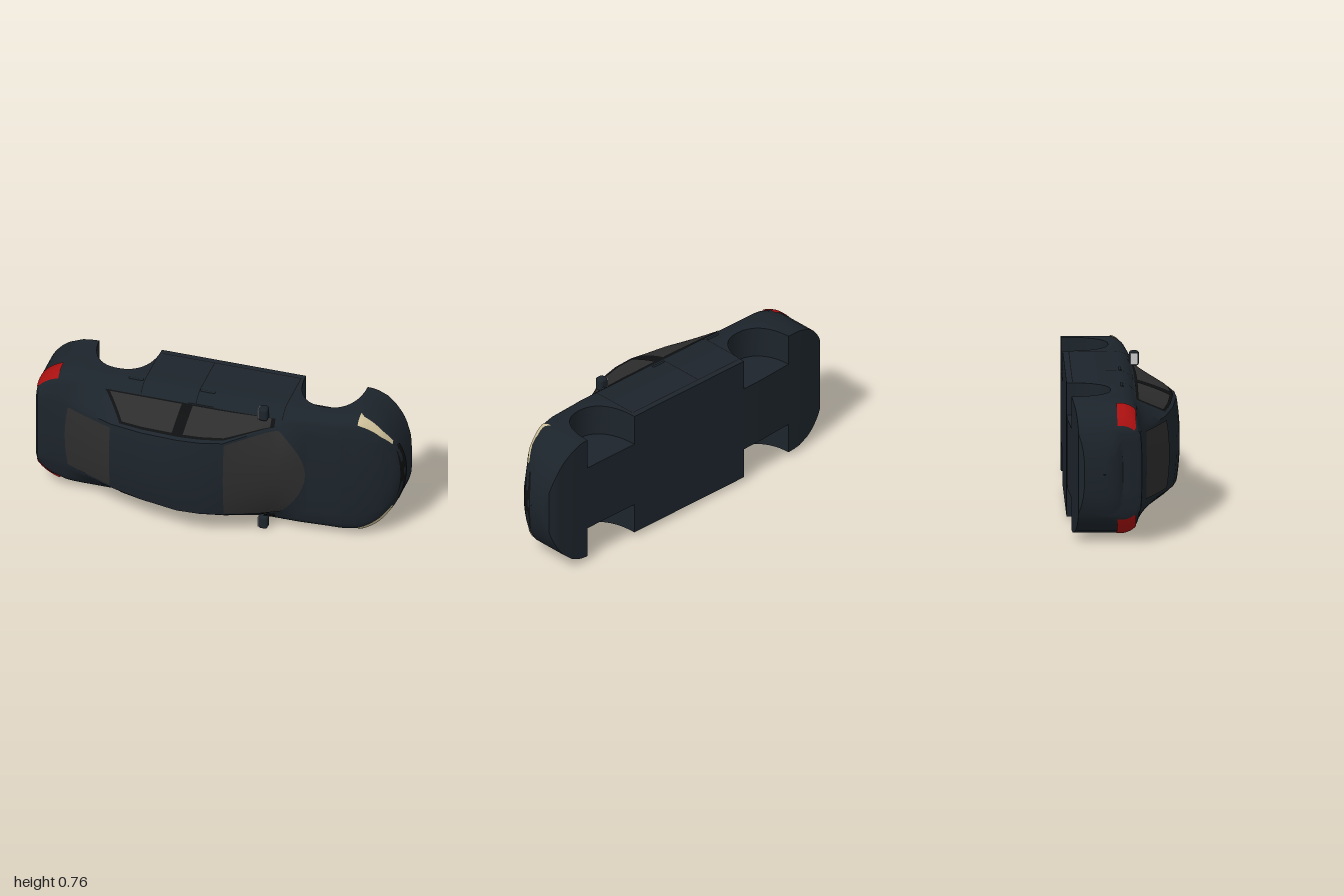
import * as THREE from 'three';
import { toCreasedNormals } from 'three/addons/utils/BufferGeometryUtils.js';
import { RoundedBoxGeometry } from 'three/addons/geometries/RoundedBoxGeometry.js';

// The car lies on its side: nose towards +x, roof towards +z, width along y.
const MID = 0.38;
const HALF = 0.355;
const mat = (color, side = THREE.DoubleSide) => new THREE.MeshStandardMaterial({ color, side });

// Lengthwise profiles, as [x, value]
const TOP = [[-1, -0.1], [-0.985, -0.05], [-0.96, -0.02], [-0.954, 0.06], [-0.94, 0.08], [-0.8, 0.095],
  [-0.65, 0.168], [-0.5, 0.23], [-0.32, 0.275], [-0.2, 0.293], [-0.12, 0.297], [0, 0.286], [0.12, 0.26],
  [0.52, 0.07], [0.7, 0.053], [0.8, 0.033], [0.9, -0.005], [0.96, -0.05], [0.985, -0.085], [1, -0.13]];
const EDGE = [[-1, -0.11], [-0.985, -0.055], [-0.96, -0.025], [-0.954, 0.055], [-0.94, 0.073], [-0.8, 0.083],
  [-0.65, 0.152], [-0.5, 0.212], [-0.32, 0.256], [-0.12, 0.28], [0, 0.272], [0.12, 0.242],
  [0.36, 0.078], [0.52, 0.062], [0.7, 0.045], [0.8, 0.02], [0.9, -0.02], [0.96, -0.07], [0.985, -0.1], [1, -0.14]];
const ROOF_HALF = [[-1, 0.2], [-0.5, 0.2], [-0.12, 0.222], [0.12, 0.225], [0.36, 0.275], [0.52, 0.265], [1, 0.22]];
const UNDER = [[-1, -0.22], [-0.97, -0.25], [-0.8, -0.275], [-0.5, -0.295], [-0.35, -0.298], [0.85, -0.298],
  [0.95, -0.285], [0.985, -0.268], [1, -0.24]];
const ARCHES = [[-0.548, 0.168, 0.225], [0.572, 0.168, 0.24]]; // centre, half length, height

const lerp = THREE.MathUtils.lerp;
function sample(table, x) {
  if (x <= table[0][0]) return table[0][1];
  for (let i = 1; i < table.length; i++) {
    const [a, p] = table[i - 1], [b, q] = table[i];
    if (x <= b) return lerp(p, q, (x - a) / (b - a));
  }
  return table[table.length - 1][1];
}

// Half width in plan: rounded nose and squarer tail
function halfWidth(x) {
  if (x > 0.75) return HALF * Math.sqrt(Math.max(0, 1 - ((x - 0.75) / 0.25) ** 2));
  if (x < -0.72) return HALF * Math.max(0, 1 - ((-0.72 - x) / 0.28) ** 2.6) ** (1 / 2.6);
  return HALF;
}

// Lower edge of the side, raised over the wheel arches
function sideBottom(x) {
  let b = sample(UNDER, x);
  for (const [c, r, h] of ARCHES) {
    const d = Math.abs(x - c) / r;
    if (d < 1) b = Math.max(b, -0.298 + h * (1 - d ** 2.3) ** (1 / 2.3));
  }
  return b;
}

// Cross-section: v 0-1 roof or hood, 1-2 window band, 2-3 shoulder, 3-4 side, 4-7 wheel well and floor
function section(x, v) {
  const W = halfWidth(x), T = sample(TOP, x), E = sample(EDGE, x), floor = sample(UNDER, x);
  const R = Math.min(sample(ROOF_HALF, x), 0.75 * W), B = 0.87 * W;
  const belt = Math.min(0.055, E - 0.012), sh = Math.min(-0.015, belt - 0.05);
  const bottom = sideBottom(x), inner = 0.52 * W;
  if (v <= 1) return [R * v, T - (T - E) * v ** 2.2];
  if (v <= 2) {
    const t = v - 1;
    return [lerp(R, B, t) + 0.12 * Math.max(0, E - belt) * t * (1 - t), lerp(E, belt, t)];
  }
  if (v <= 3) {
    const t = v - 2;
    return [lerp(B, W, 0.5 * t + 0.5 * Math.sin(t * Math.PI / 2)), lerp(belt, sh, 0.5 * t + 0.5 * t * t)];
  }
  if (v <= 4) return [W, lerp(sh, bottom, v - 3)];
  if (v <= 5) return [lerp(W, inner, v - 4), bottom];
  if (v <= 6) return [inner, lerp(bottom, floor, v - 5)];
  return [lerp(inner, 0, v - 6), floor];
}

// Point on the body skin, pushed out by off; a negative v is the other side
function skin(x, v, off = 0) {
  const s = v < 0 ? -1 : 1, a = Math.abs(v), e = 0.003;
  const [w, u] = section(x, a);
  const p = new THREE.Vector3(x, w, u);
  if (off) {
    const p0 = section(x - e, a), p1 = section(x + e, a);
    const q0 = section(x, Math.max(0, a - e)), q1 = section(x, a + e);
    const wx = (p1[0] - p0[0]) / (2 * e), ux = (p1[1] - p0[1]) / (2 * e);
    const wv = q1[0] - q0[0], uv = q1[1] - q0[1];
    p.addScaledVector(new THREE.Vector3(wx * uv - ux * wv, -uv, wv).normalize(), off);
  }
  return [p.x, MID + s * p.y, p.z];
}

// Grid of rows of points to a geometry
function gridGeometry(rows) {
  const n = rows[0].length, index = [];
  for (let i = 0; i < rows.length - 1; i++) {
    for (let j = 0; j < n - 1; j++) {
      const a = i * n + j, b = a + n;
      index.push(a, b, b + 1, a, b + 1, a + 1);
    }
  }
  const g = new THREE.BufferGeometry();
  g.setAttribute('position', new THREE.Float32BufferAttribute(rows.flat(2), 3));
  g.setIndex(index);
  g.computeVertexNormals();
  return g;
}

export function createModel() {
  const car = new THREE.Group();
  const paint = mat(0x1c242b), glass = mat(0x2d2d2d), black = mat(0x0e0f10);
  const red = mat(0xa81010), lamp = mat(0xcfc19a);
  const add = (name, geometry, material) => {
    const m = new THREE.Mesh(geometry, material);
    m.name = name;
    car.add(m);
    return m;
  };
  // Panel lying on the skin; f(s, t) gives its x and v for s, t in 0..1
  const panel = (name, material, f, off = 0.004, nx = 14, nv = 12) => {
    const rows = [];
    for (let i = 0; i <= nx; i++) {
      const row = [];
      for (let j = 0; j <= nv; j++) row.push(skin(...f(i / nx, j / nv), off));
      rows.push(row);
    }
    add(name, gridGeometry(rows), material);
  };

  // Body shell with wheel wells and floor
  let xs = TOP.map(p => p[0]).concat([-0.998, -0.993, -0.97, -0.91, -0.87, -0.76, 0.2, 0.28, 0.36, 0.44,
    0.77, 0.85, 0.93, 0.945, 0.975, 0.993, 0.998]);
  for (const [c, r] of ARCHES) for (let i = 0; i <= 24; i++) xs.push(c - r * Math.cos(i / 24 * Math.PI));
  xs = xs.sort((a, b) => a - b).filter((x, i, l) => i === 0 || x - l[i - 1] > 1e-5);
  const half = [0, 0.15, 0.3, 0.45, 0.6, 0.75, 0.9, 1, 1.25, 1.5, 1.75, 2, 2.25, 2.5, 2.75, 3, 3.5, 4, 5, 6, 7];
  const ring = half.concat(half.slice(0, -1).reverse().map(v => -v));
  add('body', toCreasedNormals(gridGeometry(xs.map(x => ring.map(v => skin(x, v)))), 0.6), paint);

  // Front and rear screens
  panel('windscreen', glass, (s, t) => {
    const v = lerp(-0.95, 0.95, t);
    return [lerp(0.125, 0.515 - 0.15 * v * v, s), v];
  });
  panel('rearWindow', glass, (s, t) => {
    const v = lerp(-0.9, 0.9, t);
    return [lerp(-0.78 + 0.02 * v * v, -0.5, s), v];
  });

  // Grille band wrapped round the nose
  const grille = [];
  for (let i = 0; i <= 20; i++) {
    const k = i / 10 - 1, w = 0.172 * k;
    const x = 0.75 + 0.25 * Math.sqrt(1 - (w / HALF) ** 2);
    grille.push([[x - 0.014, MID + w, -0.08], [x + 0.002, MID + w, lerp(-0.142, -0.115, k * k)]]);
  }
  add('grille', gridGeometry(grille), black);

  for (const s of [1, -1]) {
    const side = s > 0 ? 'left' : 'right';
    // Side windows in a dark surround
    const rear = (v, d) => lerp(-0.43, -0.57, v - 1) + d;
    const band = (x0, x1, v0, v1) => (a, t) => {
      const v = lerp(v0, v1, t);
      return [lerp(x0(v), x1(v), a), s * v];
    };
    panel(side + 'WindowSurround', black, band(v => rear(v, -0.01), () => 0.35, 1.08, 1.97), 0.002, 24);
    panel(side + 'RearSideWindow', glass, band(v => rear(v, 0.01), () => -0.155, 1.14, 1.92), 0.005);
    panel(side + 'FrontSideWindow', glass, band(() => -0.095, () => 0.33, 1.14, 1.92), 0.005);

    // Lights
    panel(side + 'Headlight', lamp, (a, t) => [lerp(0.78, 0.945, a),
      s * lerp(lerp(2.25, 1.85, a), lerp(3.1, 2.3, a), t)], 0.004);
    panel(side + 'TailLight', red, (a, t) => [lerp(-0.952, -0.835, a), s * lerp(2.2, 3.14, t)], 0.004);

    // Door seams and handles
    for (const x of [-0.385, -0.085, 0.385]) {
      panel(side + 'DoorSeam', black, (a, t) => [x + 0.004 * a, s * lerp(2, 3.88, t)], 0.0012, 1, 14);
    }
    panel(side + 'SillSeam', black, (a, t) => [lerp(-0.37, 0.385, a), s * lerp(3.88, 3.895, t)], 0.0012, 10, 1);
    for (const x of [-0.43, -0.04]) {
      add(side + 'DoorHandle', new RoundedBoxGeometry(0.08, 0.014, 0.014, 2, 0.006), paint)
        .position.set(x, MID + s * 0.352, -0.012);
    }

    // Door mirror on a short stalk
    add(side + 'Mirror', new RoundedBoxGeometry(0.05, 0.076, 0.052, 4, 0.015), paint)
      .position.set(0.29, MID + s * 0.341, 0.07);
    const stalk = add(side + 'MirrorStalk', new THREE.CylinderGeometry(0.011, 0.014, 0.06, 10), paint);
    stalk.position.set(0.3, MID + s * 0.318, 0.045);
    stalk.rotation.x = s * 0.7;
    add(side + 'MirrorGlass', new THREE.BoxGeometry(0.004, 0.06, 0.038), mat(0xcccccc))
      .position.set(0.265, MID + s * 0.341, 0.07);
  }
  return car;
}
